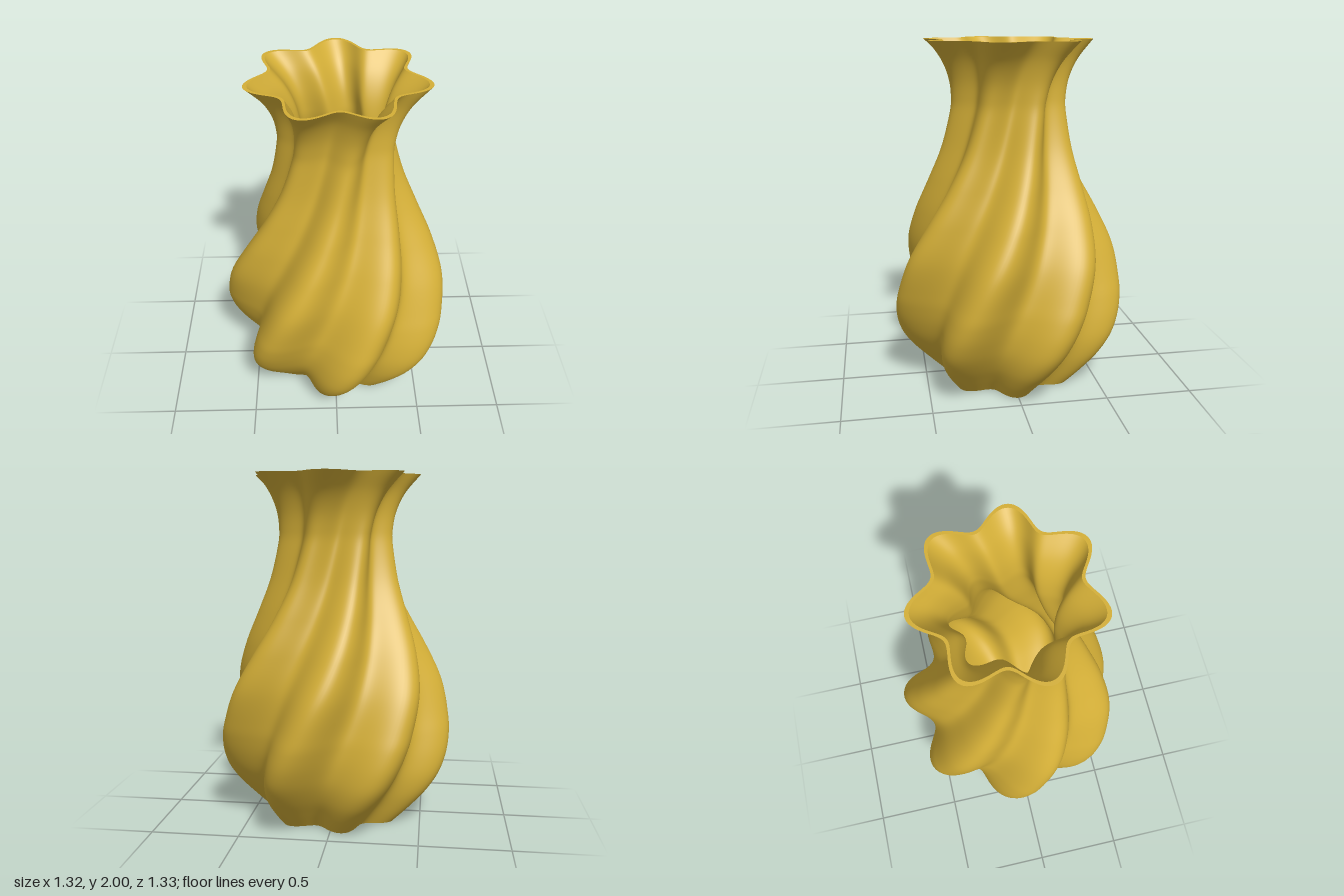
import * as THREE from 'three';

const LOBES = 7;
const DEPTH = 0.134;      // lobe depth relative to the radius
const TWIST = Math.PI / 4; // turn per unit of height
const SIDES = 210;
const RINGS = 110;
const WALL = 0.02;
const FLOOR = 0.04;
const AXIS_X = 0.016;

// Lobe-crest radius against height
const profile = new THREE.SplineCurve([
  [0.395, 0], [0.49, 0.1], [0.575, 0.2], [0.635, 0.3], [0.666, 0.4], [0.677, 0.5],
  [0.672, 0.6], [0.638, 0.8], [0.558, 1.0], [0.462, 1.2], [0.38, 1.4],
  [0.335, 1.6], [0.332, 1.7], [0.353, 1.8], [0.405, 1.9], [0.495, 2.0],
].map(([r, y]) => new THREE.Vector2(r, y)));
const samples = profile.getPoints(600);

// Mean wall radius at height y
function radiusAt(y) {
  let i = 1;
  while (i < samples.length - 1 && samples[i].y < y) i++;
  const a = samples[i - 1], b = samples[i];
  const t = (y - a.y) / (b.y - a.y);
  return (a.x + (b.x - a.x) * t) / (1 + DEPTH);
}

// Skin through lobed loops, each given by its height and mean radius
function lobedSkin(loops) {
  const positions = [], index = [];
  loops.forEach(({ y, r }, j) => {
    for (let i = 0; i < SIDES; i++) {
      const a = (i / SIDES) * Math.PI * 2;
      const lobed = r * (1 + DEPTH * Math.cos(LOBES * a));
      const turned = a - TWIST * y;
      positions.push(lobed * Math.cos(turned), y, lobed * Math.sin(turned));
      if (j === 0) continue;
      const low = (j - 1) * SIDES, high = j * SIDES, n = (i + 1) % SIDES;
      index.push(low + i, high + i, low + n, low + n, high + i, high + n);
    }
  });
  const geometry = new THREE.BufferGeometry();
  geometry.setAttribute('position', new THREE.Float32BufferAttribute(positions, 3));
  geometry.setIndex(index);
  geometry.computeVertexNormals();
  return geometry;
}

// Loops for a wall running between two heights
function wallLoops(from, to, inset) {
  return Array.from({ length: RINGS + 1 }, (_, j) => {
    const y = from + (to - from) * (j / RINGS);
    return { y, r: radiusAt(y) - inset };
  });
}

export function createModel() {
  const gold = new THREE.MeshStandardMaterial({ color: 0xd4af37 });
  gold.name = 'gold';

  const vase = new THREE.Group();
  vase.name = 'vase';
  const add = (name, loops) => {
    const mesh = new THREE.Mesh(lobedSkin(loops), gold);
    mesh.name = name;
    mesh.position.x = AXIS_X;
    vase.add(mesh);
  };

  const rim = radiusAt(2);
  add('outerWall', wallLoops(0, 2, 0));
  add('rim', [{ y: 2, r: rim }, { y: 2, r: rim - WALL }]);
  add('innerWall', wallLoops(2, FLOOR, WALL));
  add('innerFloor', [{ y: FLOOR, r: radiusAt(FLOOR) - WALL }, { y: FLOOR, r: 0 }]);
  add('base', [{ y: 0, r: 0 }, { y: 0, r: radiusAt(0) }]);
  return vase;
}
